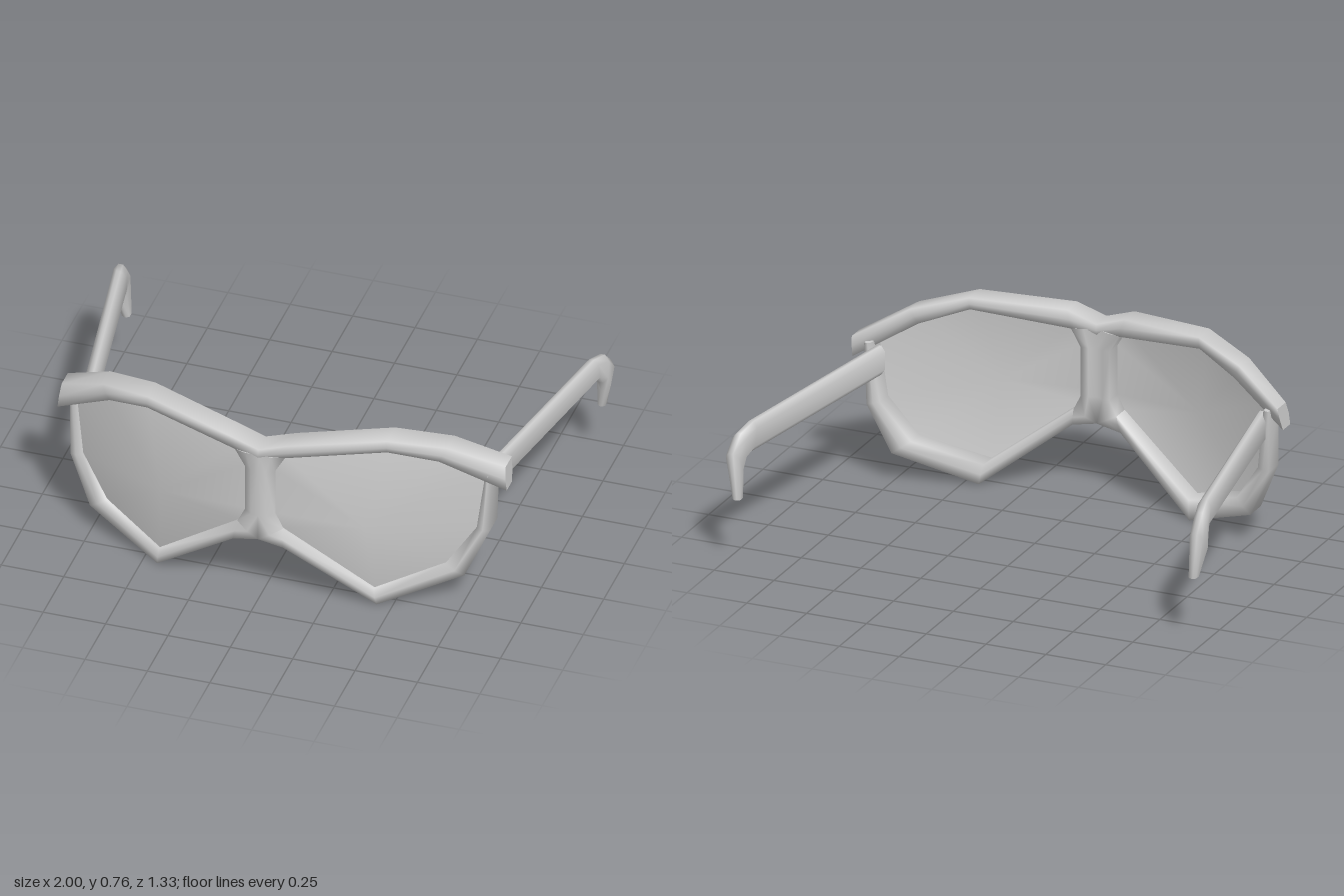
import * as THREE from 'three';

const V = (x, y, z) => new THREE.Vector3(x, y, z);
const material = new THREE.MeshStandardMaterial({ color: 0xcccccc });
const lensMaterial = new THREE.MeshStandardMaterial({ color: 0xcccccc, side: THREE.DoubleSide });

// Cross-section profiles: [position from edge a to edge b, depth]
const RIM = [[0, 0], [0.5, -0.1], [1, 0], [1, 1], [0.5, 1], [0, 0.9]];
const ARM = [[0, 0.35], [0, 0.65], [0.2, 0.96], [0.8, 0.96], [1, 0.65], [1, 0.35], [0.8, 0.04], [0.2, 0.04]];

// Places a profile between the edge points a and b, deep along d
const section = (profile, a, b, d) =>
  profile.map(([s, t]) => a.clone().lerp(b, s).addScaledVector(d, t));

// Skins a row of sections with capped ends; side = -1 mirrors it in x
function skin(sections, side = 1) {
  const n = sections[0].length, pos = [], idx = [];
  const rings = [...sections, sections[0], sections.at(-1)];
  rings.forEach(r => r.forEach(p => pos.push(p.x * side, p.y, p.z)));
  for (let i = 0; i < sections.length - 1; i++) {
    for (let j = 0; j < n; j++) {
      const k = (j + 1) % n, a = i * n, b = a + n;
      idx.push(a + j, b + j, b + k, a + j, b + k, a + k);
    }
  }
  const c0 = sections.length * n, c1 = c0 + n;
  for (let j = 1; j < n - 1; j++) {
    idx.push(c0, c0 + j, c0 + j + 1, c1, c1 + j + 1, c1 + j);
  }
  // Turn the faces outward if the enclosed volume is negative
  let volume = 0;
  const at = i => V(...pos.slice(i * 3, i * 3 + 3));
  for (let i = 0; i < idx.length; i += 3) {
    volume += at(idx[i]).dot(at(idx[i + 1]).cross(at(idx[i + 2])));
  }
  if (volume < 0) idx.reverse();
  const g = new THREE.BufferGeometry();
  g.setAttribute('position', new THREE.Float32BufferAttribute(pos, 3));
  g.setIndex(idx);
  g.computeVertexNormals();
  // Keep shading continuous across the middle of the nose bridge
  const nor = g.attributes.normal;
  for (let i = 0; i < nor.count; i++) {
    if (Math.abs(pos[i * 3]) > 1e-4) continue;
    const v = V(0, nor.getY(i), nor.getZ(i)).normalize();
    if (v.lengthSq() > 0.5) nor.setXYZ(i, v.x, v.y, v.z);
  }
  return g;
}

// Brow stations: lower edge x, y, z, upper edge x, y, z, depth (middle to temple)
const BROW = [
  [0, 0.64, 0.655, 0, 0.69, 0.66, 0.095],
  [0.10, 0.66, 0.64, 0.12, 0.73, 0.657, 0.095],
  [0.48, 0.71, 0.55, 0.48, 0.76, 0.55, 0.1],
  [0.66, 0.65, 0.465, 0.69, 0.71, 0.455, 0.092],
  [0.90, 0.505, 0.37, 0.89, 0.60, 0.35, 0.075],
];
// Rim stations: lens edge, then outer edge, from temple under the lens up the nose
const LOWER = [
  [0.82, 0.575, 0.385, 0.845, 0.575, 0.385, 0.095],
  [0.79, 0.33, 0.40, 0.84, 0.32, 0.395, 0.095],
  [0.68, 0.17, 0.445, 0.75, 0.12, 0.43, 0.098],
  [0.43, 0.075, 0.56, 0.44, 0, 0.553, 0.1],
  [0.09, 0.33, 0.64, 0.10, 0.26, 0.662, 0.095],
  [0.09, 0.33, 0.64, 0, 0.28, 0.665, 0.095],
  [0.06, 0.39, 0.64, 0, 0.39, 0.665, 0.095],
  [0.06, 0.59, 0.64, 0, 0.59, 0.665, 0.095],
  [0.10, 0.66, 0.64, 0, 0.67, 0.662, 0.095],
];
// Arm stations: top y, z, bottom y, z, centre x, half thickness
const TEMPLE = [
  [0.557, 0.33, 0.437, 0.33, 0.80, 0.027],
  [0.537, -0.52, 0.422, -0.55, 0.948, 0.029],
  [0.513, -0.60, 0.392, -0.585, 0.965, 0.03],
  [0.45, -0.663, 0.355, -0.59, 0.97, 0.03],
  [0.26, -0.657, 0.26, -0.614, 0.953, 0.017],
];

const frameSections = rows => rows.map(([a, b, c, d, e, f, depth]) =>
  section(RIM, V(a, b, c), V(d, e, f), V(0, 0, -depth)));
const armSections = TEMPLE.map(([ty, tz, by, bz, x, h]) =>
  section(ARM, V(x - h, ty, tz), V(x - h, by, bz), V(2 * h, 0, 0)));

// Domed lens: a fan from a raised middle to the inner edge of the frame
function lensGeometry(side) {
  const edge = [...BROW.slice(1, 4), ...LOWER.slice(0, 5), ...LOWER.slice(6, 8)];
  const pos = [0.41 * side, 0.38, 0.608], idx = [];
  edge.forEach(([x, y, z], i) => {
    pos.push(x * side, y, z - 0.01);
    const a = i + 1, b = (i + 1) % edge.length + 1;
    idx.push(0, ...(side > 0 ? [b, a] : [a, b]));
  });
  const g = new THREE.BufferGeometry();
  g.setAttribute('position', new THREE.Float32BufferAttribute(pos, 3));
  g.setIndex(idx);
  g.computeVertexNormals();
  return g;
}

export function createModel() {
  const model = new THREE.Group();
  model.name = 'glasses';
  const add = (name, geometry, mat = material) => {
    const mesh = new THREE.Mesh(geometry, mat);
    mesh.name = name;
    model.add(mesh);
  };

  // One brow bar runs across both lenses
  const mirrored = BROW.slice(1).reverse().map(([a, b, c, d, ...rest]) => [-a, b, c, -d, ...rest]);
  add('browBar', skin(frameSections([...mirrored, ...BROW])));

  // Rim with half the nose bridge, lens and arm on each side
  for (const [label, side] of [['left', 1], ['right', -1]]) {
    add(label + 'Rim', skin(frameSections(LOWER), side));
    add(label + 'Lens', lensGeometry(side), lensMaterial);
    add(label + 'Arm', skin(armSections, side));
  }
  return model;
}
